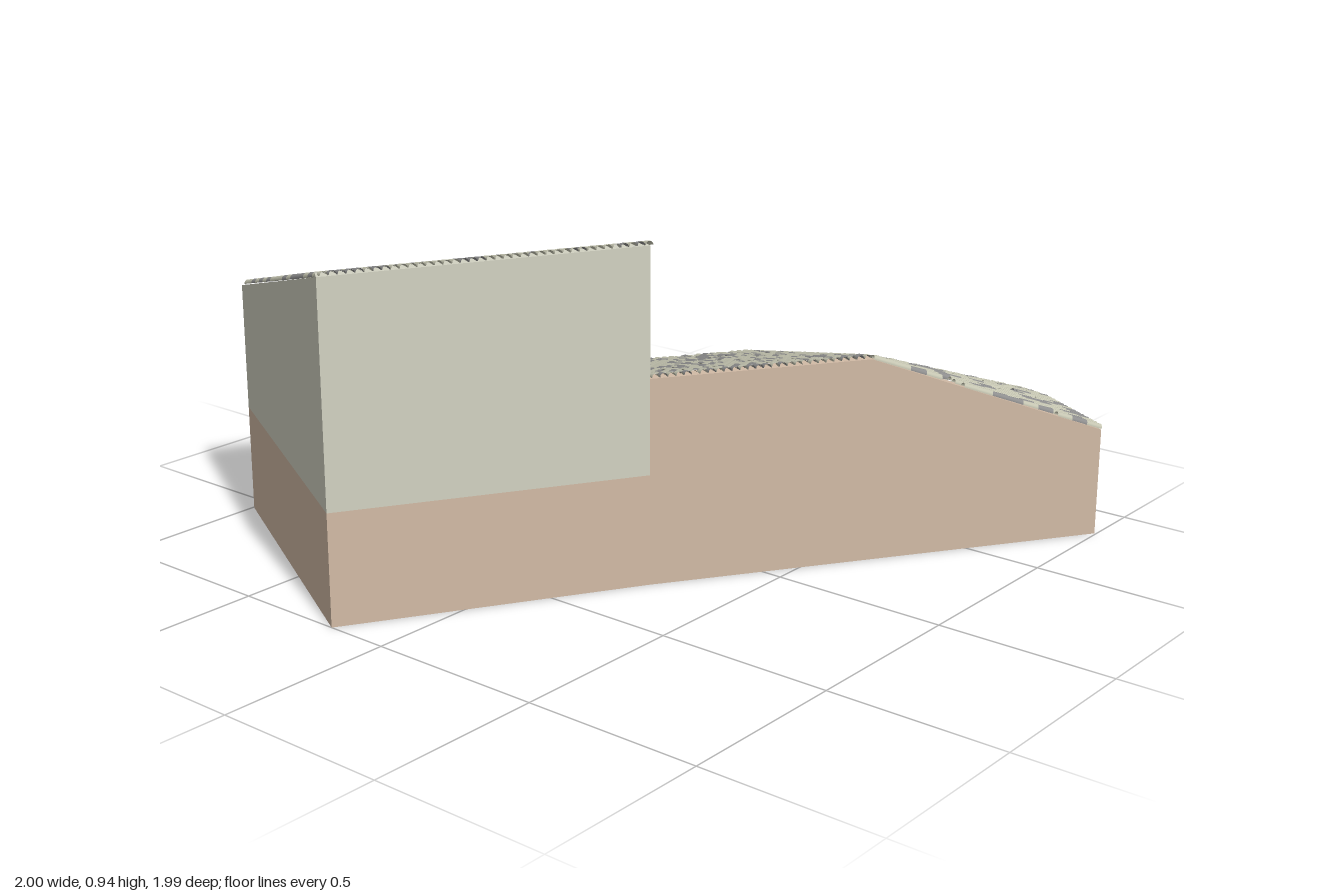
import * as THREE from 'three';
import { mergeGeometries } from 'three/addons/utils/BufferGeometryUtils.js';

const V = (x, y, z) => new THREE.Vector3(x, y, z);
const paint = (color, side = THREE.FrontSide) => new THREE.MeshStandardMaterial({ color, side });

// Ground plan corners as [x, z]
const A = [-1, -0.18], T1 = [-0.265, 0.264], P = [0.25, 0.605], F = [0.83, 0.995];
const E = [0.98, 0.73], D = [1, 0.635], C = [0.79, -0.205], T2 = [0.27, -0.56], B = [-0.555, -0.995];
const EAVE = 0.31, RIDGE = 0.575;
const TOP = { A: 0.92, T1: 0.93, T2: 0.67, B: 0.673 };
const THICK = 0.04, LINING = 0.005;

export function createModel() {
  const model = new THREE.Group();
  const tan = paint(0xd2bba6), cream = paint(0xd2d2c2), grey = paint(0xcccccc);
  const tileMats = [paint(0xc8c8b4, THREE.DoubleSide), paint(0x909090, THREE.DoubleSide)];

  let seed = 7;
  const random = () => (seed = (seed * 16807) % 2147483647) / 2147483647;

  function add(parent, name, geometry, material, x = 0, y = 0, z = 0) {
    const mesh = new THREE.Mesh(geometry, material);
    mesh.name = name;
    mesh.position.set(x, y, z);
    parent.add(mesh);
    return mesh;
  }

  // Wall from a to b, outside on the right-hand side of the run.
  // top: [fraction along the run, height] points; holes: [z start, z end, y bottom, y top, open]
  function wall(name, a, b, material, bottom, top, holes = []) {
    const dx = b[0] - a[0], dz = b[1] - a[1], len = Math.hypot(dx, dz);
    const group = new THREE.Group();
    group.name = name;
    group.position.set(a[0], 0, a[1]);
    group.rotation.y = Math.atan2(-dz, dx);
    const shape = new THREE.Shape();
    shape.moveTo(0, bottom);
    shape.lineTo(len, bottom);
    for (const [f, y] of [...top].reverse()) shape.lineTo(f * len, y);
    shape.closePath();
    for (const [z0, z1, y0, y1, open] of holes) {
      const u0 = (z0 - a[1]) / dz * len, u1 = (z1 - a[1]) / dz * len;
      shape.holes.push(new THREE.Path([[u0, y0], [u0, y1], [u1, y1], [u1, y0]]
        .map(([x, y]) => new THREE.Vector2(x, y))));
      if (!open) {
        add(group, 'windowPane', new THREE.BoxGeometry(u1 - u0, y1 - y0, 0.004), grey,
          (u0 + u1) / 2, (y0 + y1) / 2, -THICK + 0.002);
      }
    }
    // Solid slab whose inner ends are drawn in slightly, so corners close cleanly
    const solid = (depth, z) => {
      const geometry = new THREE.ExtrudeGeometry(shape, { depth, bevelEnabled: false });
      const pos = geometry.attributes.position;
      for (let i = 0; i < pos.count; i++) {
        const x = pos.getX(i), inward = Math.min(0, pos.getZ(i) + z) / THICK * 0.005;
        if (x < 1e-4) pos.setX(i, x - inward);
        else if (x > len - 1e-4) pos.setX(i, x + inward);
      }
      return geometry;
    };
    add(group, 'masonry', solid(THICK, -THICK), material, 0, 0, -THICK);
    add(group, 'innerLining', solid(LINING, -THICK - LINING), grey, 0, 0, -THICK - LINING);
    model.add(group);
  }
  const level = (y) => [[0, y], [1, y]];

  // Lower storey
  wall('frontLowerWall', A, T1, tan, 0, level(EAVE));
  wall('frontRidgeWall', T1, F, tan, 0, [[0, RIDGE], [(P[0] - T1[0]) / (F[0] - T1[0]), RIDGE], [1, EAVE]]);
  wall('endWall', F, E, tan, 0, level(EAVE), [[0.9, 0.76, 0.055, 0.22]]);
  wall('cornerWall', E, D, tan, 0, level(EAVE));
  wall('sideWall', D, C, tan, 0, level(EAVE), [[0.42, 0.26, 0.055, 0.22], [0.1, -0.065, 0.055, 0.22]]);
  wall('backLowerWall', C, T2, tan, 0, level(EAVE), [[-0.275, -0.37, 0.055, 0.22], [-0.46, -0.55, 0.055, 0.22]]);
  wall('backDoorWall', T2, B, tan, 0, level(EAVE),
    [[-0.66, -0.735, 0.055, 0.22], [-0.9, -0.955, 0.002, 0.235, true]]);
  wall('farEndLowerWall', B, A, tan, 0, level(EAVE));

  // Upper storey
  wall('frontUpperWall', A, T1, cream, EAVE, [[0, TOP.A], [1, TOP.T1]]);
  wall('sideUpperWall', T1, T2, cream, EAVE, [[0, TOP.T1], [1, TOP.T2]],
    [[0.15, 0.08, 0.72, 0.8], [-0.01, -0.15, 0.555, 0.72], [-0.275, -0.415, 0.5, 0.665]]);
  wall('backUpperWall', T2, B, cream, EAVE, [[0, TOP.T2], [1, TOP.B]],
    [[-0.675, -0.755, 0.42, 0.59], [-0.9, -0.945, 0.505, 0.59]]);
  wall('farEndUpperWall', B, A, cream, EAVE, [[0, TOP.B], [1, TOP.A]]);

  // Upper floor slab and the post carrying it
  const slab = new THREE.ExtrudeGeometry(
    new THREE.Shape([A, T1, T2, B].map(([x, z]) => new THREE.Vector2(x * 0.97 - 0.01, -z * 0.97 + 0.01))),
    { depth: 0.02, bevelEnabled: false });
  slab.rotateX(-Math.PI / 2);
  add(model, 'upperFloor', slab, grey, 0, EAVE - 0.02, 0);
  add(model, 'post', new THREE.BoxGeometry(0.05, EAVE - 0.02, 0.05), tan, -0.46, (EAVE - 0.02) / 2, -0.45)
    .rotation.y = -0.5;

  // Barrel tiles laid in downslope columns over a flat convex facet
  const PITCH = 0.022, ROW = 0.052;
  function tileRoof(name, corners, missing) {
    const pts = corners.map(([p, y]) => V(p[0], y + 0.002, p[1]));
    const normal = pts[1].clone().sub(pts[0]).cross(pts[2].clone().sub(pts[0])).normalize();
    if (normal.y < 0) normal.negate();
    const up = V(0, 1, 0).addScaledVector(normal, -normal.y).normalize();
    const across = up.clone().cross(normal);
    const flat = pts.map((p) => p.clone().sub(pts[0])).map((p) => [p.dot(across), p.dot(up)]);
    const sMin = Math.min(...flat.map((p) => p[0])), sMax = Math.max(...flat.map((p) => p[0]));
    const tiles = [[], []];
    for (let s = sMin + PITCH / 2; s < sMax; s += PITCH) {
      const hits = [];
      flat.forEach(([s0, t0], i) => {
        const [s1, t1] = flat[(i + 1) % flat.length];
        if ((s0 <= s) !== (s1 <= s)) hits.push(t0 + (t1 - t0) * (s - s0) / (s1 - s0));
      });
      if (hits.length < 2) continue;
      const start = Math.min(...hits), end = Math.max(...hits);
      for (let t = start; t < end - 0.004; t += ROW) {
        const kind = random() < 0.35 ? 1 : 0;
        if (random() < missing) continue;
        const len = Math.min(ROW + 0.008, end - t);
        const tile = new THREE.CylinderGeometry(0.0105, 0.0125, len, 5, 1, true, -Math.PI / 2, Math.PI);
        const at = pts[0].clone().addScaledVector(across, s).addScaledVector(up, t + len / 2);
        tile.applyMatrix4(new THREE.Matrix4().makeBasis(across, up, normal).setPosition(at));
        tiles[kind].push(tile);
      }
    }
    tiles.forEach((list, i) => {
      if (list.length) add(model, name + (i ? 'DarkTiles' : 'PaleTiles'), mergeGeometries(list), tileMats[i]);
    });
  }
  tileRoof('upperRoof', [[A, TOP.A], [T1, TOP.T1], [T2, TOP.T2], [B, TOP.B]], 0.03);
  tileRoof('lowerRoof', [[P, RIDGE], [T1, RIDGE], [T2, EAVE], [C, EAVE]], 0.08);
  tileRoof('sideHip', [[P, RIDGE], [C, EAVE], [D, EAVE]], 0.06);
  tileRoof('cornerHip', [[P, RIDGE], [D, EAVE], [E, EAVE]], 0.05);
  tileRoof('endHip', [[P, RIDGE], [E, EAVE], [F, EAVE]], 0.06);

  // Office furniture: a desk and swivel chair at each place
  const blue = paint(0x1583a8), dark = paint(0x333333), white = paint(0xe8e8e8);
  const places = [[0.74, 0.33], [0.45, 0.55], [0.3, 0.35], [0.34, 0.12], [0.2, 0.26],
    [0, 0.21], [0.25, -0.25], [0.01, -0.11], [0.12, 0]];
  places.forEach(([x, z], i) => {
    const place = new THREE.Group();
    place.name = 'workplace';
    place.position.set(x, 0, z);
    place.rotation.y = -0.55 + (i % 2) * Math.PI;
    add(place, 'chairSeat', new THREE.BoxGeometry(0.04, 0.008, 0.04), blue, 0, 0.045, 0);
    add(place, 'chairBack', new THREE.BoxGeometry(0.036, 0.04, 0.006), blue, 0, 0.075, 0.02);
    add(place, 'chairStem', new THREE.CylinderGeometry(0.004, 0.004, 0.04, 6), dark, 0, 0.022, 0);
    for (const turn of [0, Math.PI / 2]) {
      add(place, 'chairFoot', new THREE.BoxGeometry(0.04, 0.005, 0.005), dark, 0, 0.004, 0).rotation.y = turn;
    }
    add(place, 'deskTop', new THREE.BoxGeometry(0.11, 0.006, 0.05), white, 0, 0.068, -0.045);
    for (const side of [-1, 1]) {
      add(place, 'deskLeg', new THREE.BoxGeometry(0.005, 0.065, 0.045), white, side * 0.05, 0.0325, -0.045);
    }
    model.add(place);
  });
  return model;
}
